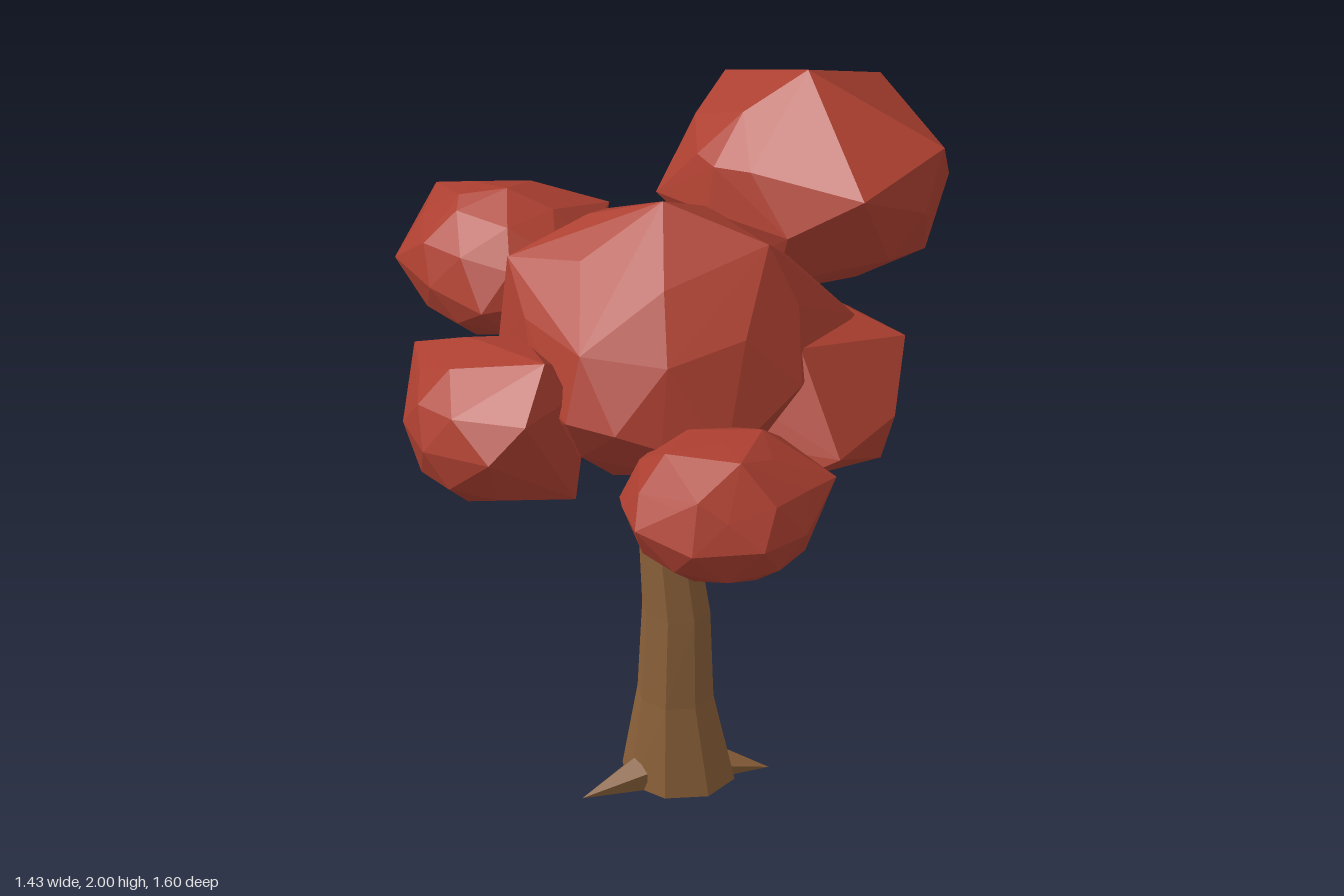
import * as THREE from 'three';
import { ConvexGeometry } from 'three/addons/geometries/ConvexGeometry.js';

const leafRed = new THREE.MeshStandardMaterial({ color: 0xad4031 });
leafRed.name = 'leafRed';
const barkBrown = new THREE.MeshStandardMaterial({ color: 0x8a6039 });
barkBrown.name = 'barkBrown';
leafRed.flatShading = barkBrown.flatShading = true;

// Faceted leaf clump: a rounded core with a few corners standing out of it
function clump(name, centre, radii, corners) {
  const core = new THREE.IcosahedronGeometry(1, 1);
  core.rotateZ(-0.5536); // one corner straight up
  core.scale(...radii).translate(...centre);
  const p = core.attributes.position;
  const points = corners.map((c) => new THREE.Vector3(...c));
  for (let i = 0; i < p.count; i++) points.push(new THREE.Vector3().fromBufferAttribute(p, i));
  const m = new THREE.Mesh(new ConvexGeometry(points), leafRed);
  m.name = name;
  return m;
}

// Trunk rings from top to bottom: y, centre x, centre z, radius x, radius z
const rings = [
  [1.3, 0.05, 0.035, 0.055, 0.055],
  [1.03, 0.062, 0.038, 0.07, 0.068],
  [0.8, 0.076, 0.043, 0.082, 0.077],
  [0.55, 0.104, 0.053, 0.096, 0.087],
  [0.28, 0.104, 0.06, 0.107, 0.104],
  [0.015, 0.112, 0.058, 0.158, 0.143],
];

function trunk() {
  const g = new THREE.CylinderGeometry(1, 1, 1, 8, rings.length - 1);
  const p = g.attributes.position;
  for (let i = 0; i < p.count; i++) {
    const [y, cx, cz, rx, rz] = rings[Math.round((0.5 - p.getY(i)) * (rings.length - 1))];
    p.setXYZ(i, cx + p.getX(i) * rx, y, cz + p.getZ(i) * rz);
  }
  g.computeVertexNormals();
  const m = new THREE.Mesh(g, barkBrown);
  m.name = 'trunk';
  return m;
}

// Pointed root running from inside the trunk out to a tip
function root(tipX, tipZ) {
  const from = new THREE.Vector3(0.11, 0.065, 0.06);
  const tip = new THREE.Vector3(tipX, 0.03, tipZ);
  from.lerp(tip, 0.4);
  const length = from.distanceTo(tip);
  const g = new THREE.ConeGeometry(0.052, length, 5);
  g.translate(0, length / 2, 0);
  const m = new THREE.Mesh(g, barkBrown);
  m.quaternion.setFromUnitVectors(new THREE.Vector3(0, 1, 0), tip.clone().sub(from).normalize());
  m.position.copy(from);
  m.name = 'root';
  return m;
}

export function createModel() {
  const tree = new THREE.Group();
  tree.name = 'tree';
  tree.add(trunk(), root(-0.1, 0.28), root(0.35, 0), root(-0.06, -0.17));

  // Canopy: large middle clump with five smaller ones around it
  tree.add(
    clump('middleLeaves', [0.05, 1.4, 0.03], [0.44, 0.37, 0.43], [
      [0.06, 1.86, 0.03], [0.36, 1.77, 0.03], [0.45, 1.6, 0.05], [0.55, 1.45, -0.16],
      [0.49, 1.42, 0.17], [0.06, 1.41, 0.53], [-0.07, 1.58, 0.42], [-0.16, 1.76, 0],
      [-0.36, 1.65, 0.1], [0.34, 1.3, 0.41], [-0.06, 1.03, 0.1], [0.14, 1.03, -0.05],
      [-0.09, 1.4, 0.49], [0.18, 1.36, 0.49],
    ]),
    clump('upperBackLeaves', [0.33, 1.65, -0.49], [0.375, 0.285, 0.295], [
      [0.33, 2, -0.49], [0.715, 1.81, -0.49], [0.67, 1.5, -0.45], [0.45, 1.81, -0.8],
      [0.35, 1.49, -0.79], [0.05, 1.84, -0.66], [-0.07, 1.6, -0.38], [0.12, 1.78, -0.28],
      [0.57, 1.8, -0.19], [0.36, 1.66, -0.165], [0.33, 1.35, -0.48], [0.3, 1.42, -0.25],
      [0.63, 1.7, -0.68], [0.7, 1.66, -0.59], [0.11, 1.6, -0.75],
    ]),
    clump('backRightLeaves', [-0.43, 1.49, -0.12], [0.265, 0.215, 0.24], [
      [-0.42, 1.72, -0.12], [-0.55, 1.69, -0.1], [-0.66, 1.6, -0.27], [-0.72, 1.48, -0.06],
      [-0.66, 1.36, -0.1], [-0.57, 1.27, -0.1], [-0.42, 1.48, 0.15], [-0.46, 1.5, -0.375],
      [-0.18, 1.6, -0.3],
    ]),
    clump('frontRightLeaves', [-0.33, 1.28, 0.34], [0.25, 0.23, 0.26], [
      [-0.16, 1.56, 0.45], [-0.38, 1.5, 0.3], [-0.6, 1.38, 0.18], [-0.57, 1.24, 0.39],
      [-0.45, 1.1, 0.3], [-0.27, 1.04, 0.32], [-0.18, 1.43, 0.58], [-0.27, 1.32, 0.63],
      [-0.51, 1.35, 0.46], [-0.08, 1.11, 0.42], [-0.09, 1.44, 0.42],
    ]),
    clump('frontLeftLeaves', [0.36, 1.235, 0.52], [0.275, 0.205, 0.26], [
      [0.22, 1.43, 0.6], [0.44, 1.45, 0.62], [0.45, 1.44, 0.43], [0.65, 1.3, 0.4],
      [0.54, 1.25, 0.74], [0.35, 1.24, 0.8], [0.17, 1.25, 0.73], [0.07, 1.21, 0.52],
      [0.3, 1.02, 0.5], [0.52, 1.05, 0.45], [0.45, 1.3, 0.25], [0.35, 1.38, 0.74],
    ]),
    clump('leftLeaves', [0.4, 1.245, -0.08], [0.28, 0.215, 0.32], [
      [0.47, 1.5, 0.11], [0.45, 1.47, -0.2], [0.69, 1.4, -0.17], [0.715, 1.27, 0.03],
      [0.62, 1.25, 0.25], [0.5, 1.18, 0.27], [0.45, 1.28, -0.43], [0.42, 1.02, -0.26],
      [0.42, 1.03, -0.02], [0.68, 1.14, 0.05],
    ]),
  );
  return tree;
}
